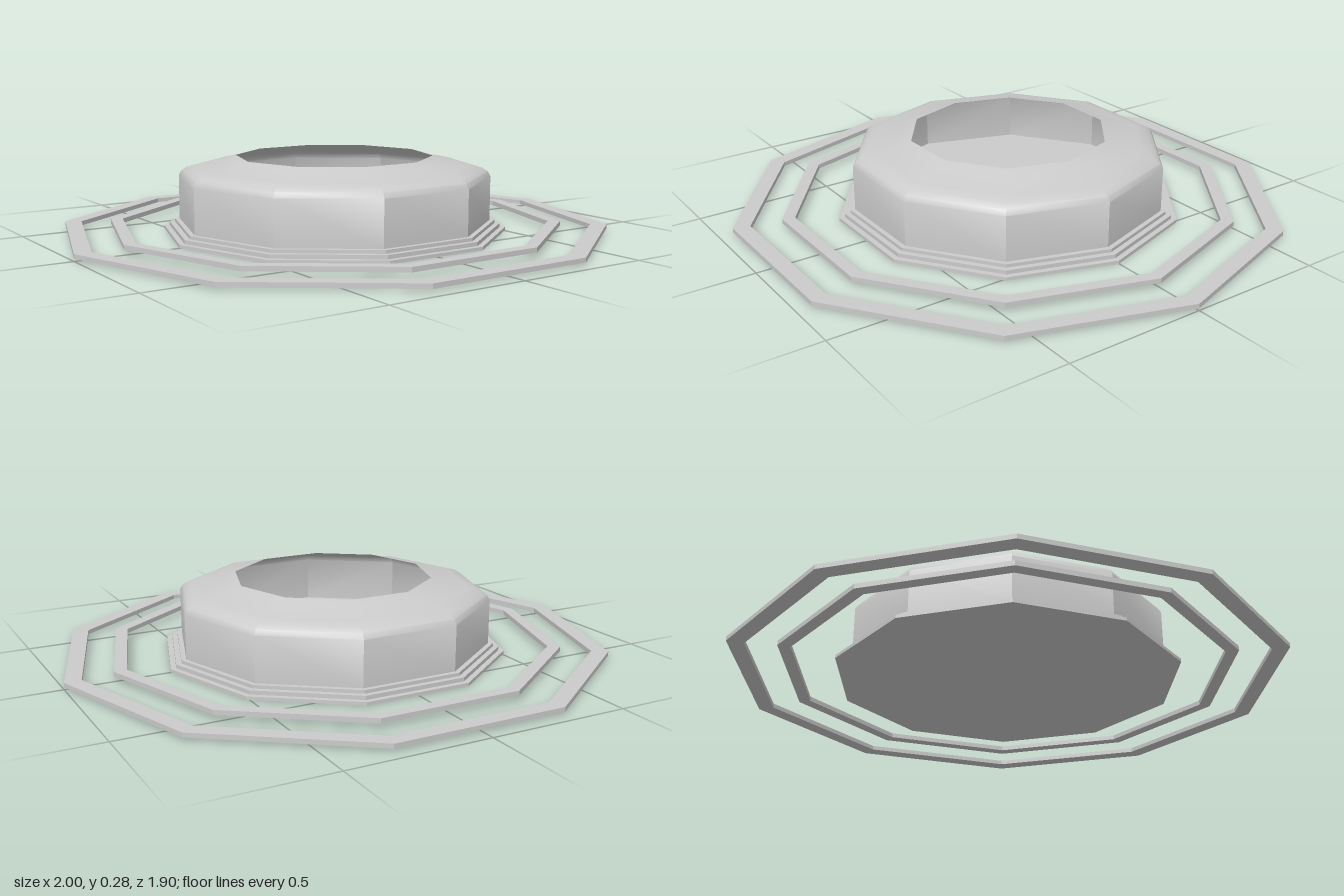
import * as THREE from 'three';
import { toCreasedNormals } from 'three/addons/utils/BufferGeometryUtils.js';

const SIDES = 10;

// Ten-sided turned part with a corner on the x axis; profile is [radius, height]
function turned(name, profile, side = THREE.FrontSide) {
  const points = profile.map(([r, y]) => new THREE.Vector2(r, y));
  const lathe = new THREE.LatheGeometry(points, SIDES, Math.PI / 2);
  const material = new THREE.MeshStandardMaterial({ color: 0xcccccc, side });
  const mesh = new THREE.Mesh(toCreasedNormals(lathe, 0.6), material);
  mesh.name = name;
  return mesh;
}

// Flat ring of rectangular section
function ring(name, inner, outer, bottom, top) {
  return turned(name, [
    [inner, bottom], [outer, bottom], [outer, top], [inner, top], [inner, bottom],
  ]);
}

export function createModel() {
  const group = new THREE.Group();
  group.name = 'ringedDish';

  // Free-standing rings around the body
  group.add(ring('outerRing', 0.94, 1.0, 0.008, 0.024));
  group.add(ring('middleRing', 0.785, 0.83, 0.018, 0.035));

  // Stepped base plate with a solid floor
  group.add(turned('basePlate', [
    [0, 0], [0.63, 0], [0.63, 0.012], [0.61, 0.012],
    [0.61, 0.026], [0.59, 0.026], [0.59, 0.038], [0, 0.038],
  ]));

  // Thin hollow body: upright wall, rounded shoulder, raised lip around the opening
  group.add(turned('hollowBody', [
    [0.572, 0.036], [0.572, 0.2], [0.562, 0.218], [0.54, 0.232],
    [0.5, 0.241], [0.45, 0.25], [0.4, 0.265], [0.36, 0.275],
  ], THREE.DoubleSide));

  return group;
}
